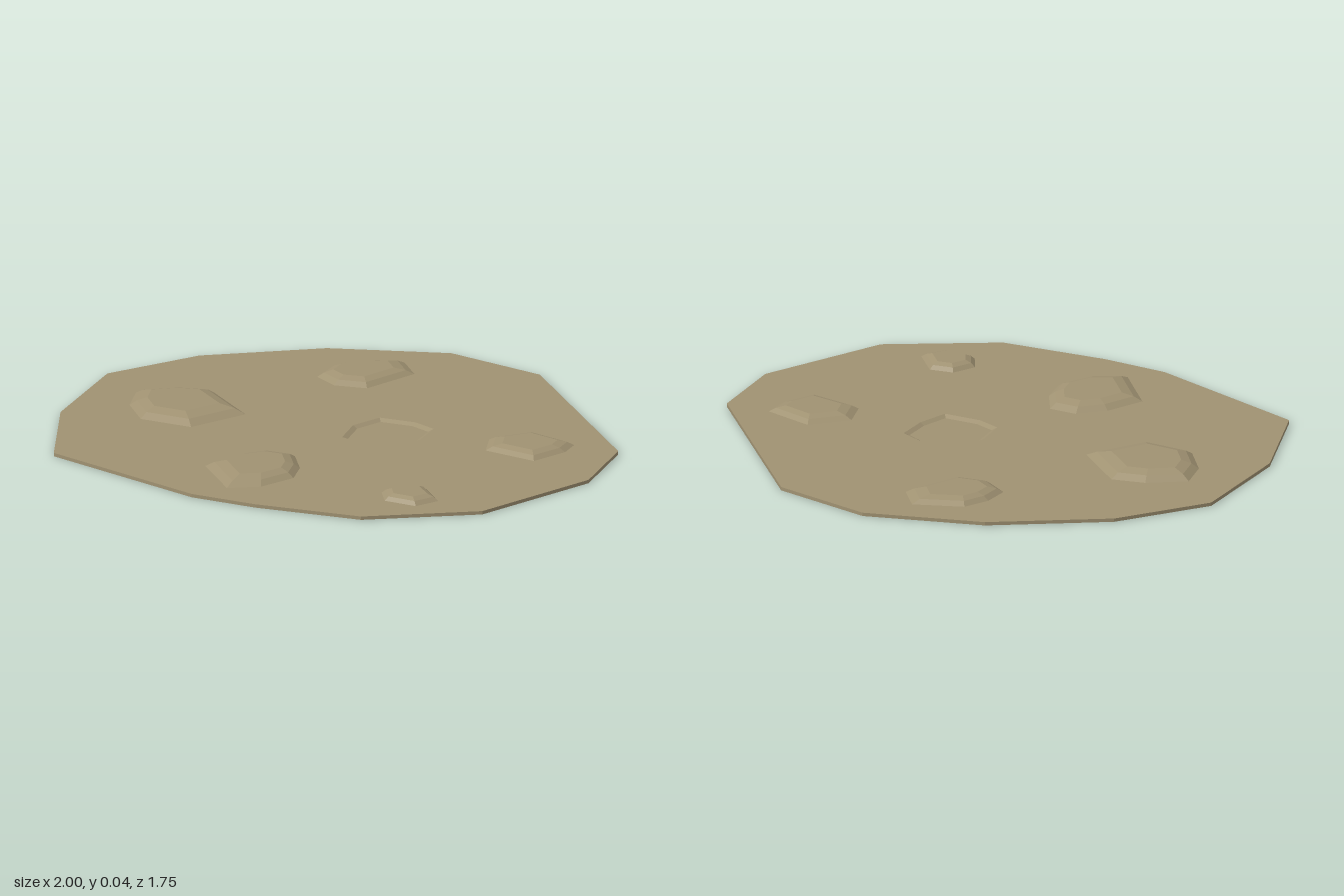
import * as THREE from 'three';

const TOP = 0.012; // height of the slab surface
const material = new THREE.MeshStandardMaterial({ color: 0xa09272, flatShading: true });

// All outlines are [x, z] points, running clockwise as seen from above.
const OUTLINE = [
  [-0.18, -0.875], [0.2, -0.865], [0.9, -0.355], [1, -0.045], [0.905, 0.44], [0.605, 0.73], [0.235, 0.835],
  [-0.005, 0.872], [-0.645, 0.79], [-0.885, 0.42], [-1, -0.01], [-0.86, -0.35], [-0.555, -0.67],
];
const CRATER = [
  [0.03, -0.17], [0.16, -0.2], [0.25, -0.18], [0.28, -0.06], [0.275, 0.06], [0.14, 0.09], [0.05, 0.075], [0.005, -0.05],
];
const MOUNDS = [
  { name: 'leftMound', height: 0.041, points: [[-0.59, -0.06], [-0.36, 0.07], [-0.43, 0.29], [-0.62, 0.32], [-0.74, 0.22], [-0.8, 0.1], [-0.7, -0.01]] },
  { name: 'backMound', height: 0.035, points: [[-0.25, -0.7], [-0.15, -0.62], [-0.19, -0.4], [-0.3, -0.36], [-0.4, -0.4], [-0.42, -0.5], [-0.4, -0.6]] },
  { name: 'rightMound', height: 0.033, points: [[0.55, -0.335], [0.74, -0.32], [0.76, -0.24], [0.73, -0.1], [0.53, -0.095], [0.47, -0.2]] },
  { name: 'frontMound', height: 0.038, points: [[0.04, 0.335], [0.13, 0.43], [0.175, 0.53], [0.14, 0.67], [0.055, 0.75], [-0.145, 0.6], [-0.12, 0.45], [-0.06, 0.355]] },
  { name: 'smallMound', height: 0.033, points: [[0.61, 0.36], [0.72, 0.44], [0.69, 0.53], [0.57, 0.545], [0.51, 0.48], [0.53, 0.39]] },
];

// Joins scaled copies of an outline, given as [scale, y] rings, and closes the last ring.
function loft(points, rings) {
  const n = points.length;
  const cx = points.reduce((s, p) => s + p[0], 0) / n;
  const cz = points.reduce((s, p) => s + p[1], 0) / n;
  const at = (ring, i) => {
    const [x, z] = points[i % n];
    return [cx + (x - cx) * ring[0], ring[1], cz + (z - cz) * ring[0]];
  };
  const positions = [];
  const last = rings[rings.length - 1];
  for (let i = 0; i < n; i++) {
    for (let r = 0; r + 1 < rings.length; r++) {
      const a = at(rings[r], i), b = at(rings[r], i + 1);
      const c = at(rings[r + 1], i + 1), d = at(rings[r + 1], i);
      positions.push(...b, ...a, ...d, ...b, ...d, ...c);
    }
    positions.push(...at(last, i + 1), ...at(last, i), cx, last[1], cz);
  }
  const geometry = new THREE.BufferGeometry();
  geometry.setAttribute('position', new THREE.Float32BufferAttribute(positions, 3));
  geometry.computeVertexNormals();
  return geometry;
}

export function createModel() {
  const model = new THREE.Group();
  model.name = 'groundPatch';
  const add = (name, geometry, parent = model) => {
    const mesh = new THREE.Mesh(geometry, material);
    mesh.name = name;
    parent.add(mesh);
  };

  // Thin slab: surface with an opening for the crater, then rim and underside
  const slab = new THREE.Group();
  slab.name = 'slab';
  model.add(slab);
  const toShape = (points) => points.map(([x, z]) => new THREE.Vector2(x, -z));
  const surface = new THREE.Shape(toShape(OUTLINE));
  surface.holes.push(new THREE.Path(toShape(CRATER)));
  add('slabSurface', new THREE.ShapeGeometry(surface).rotateX(-Math.PI / 2).translate(0, TOP, 0), slab);
  add('slabRimAndUnderside', loft([...OUTLINE].reverse(), [[1, TOP], [1, 0]]), slab);

  // Shallow crater
  add('crater', loft(CRATER, [[1, TOP], [0.88, 0.003]]));

  // Bevelled, flat-topped mounds
  for (const { name, height, points } of MOUNDS) {
    const rise = height - TOP;
    add(name, loft(points, [[1, TOP], [0.84, TOP + rise * 0.6], [0.62, height]]));
  }
  return model;
}
